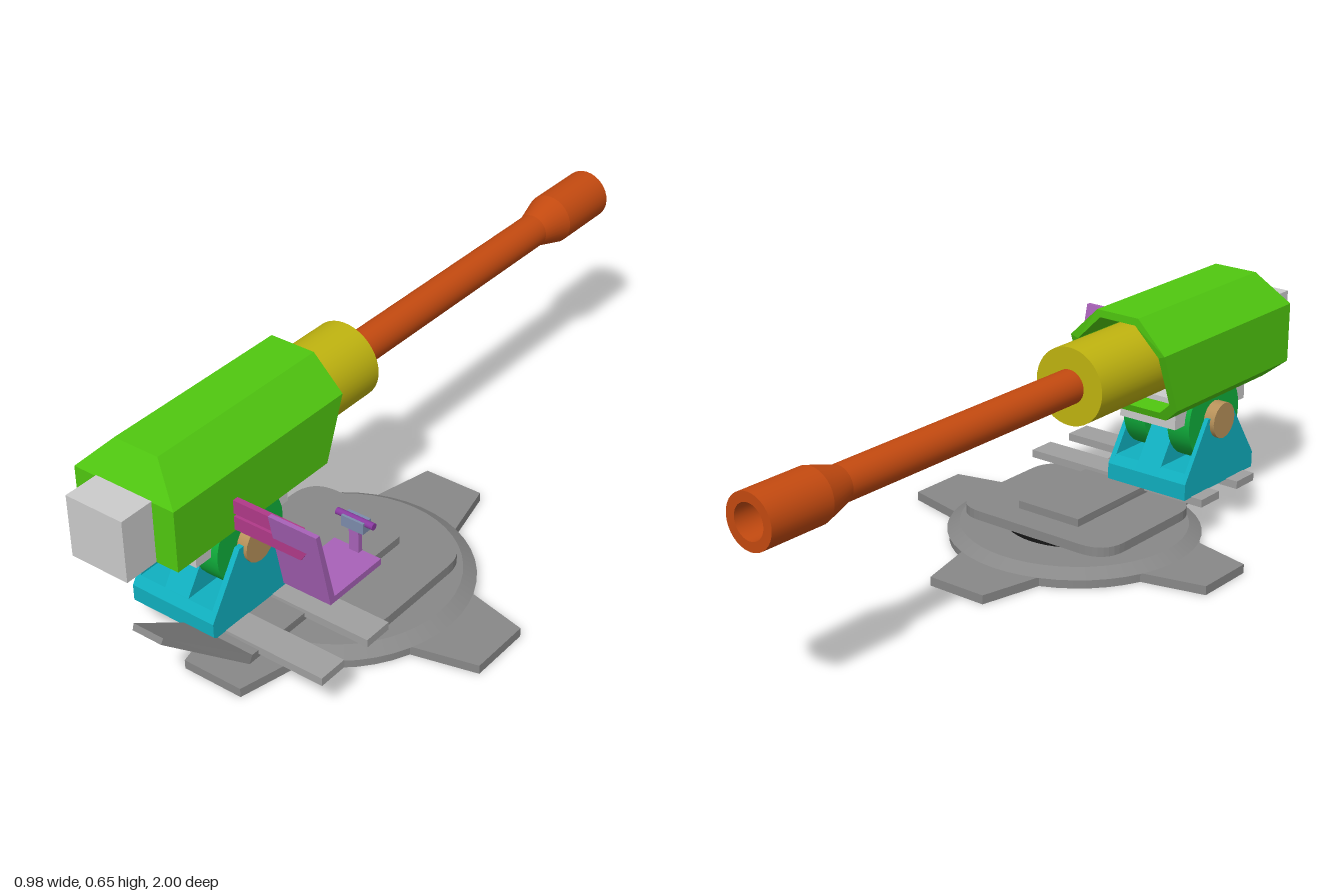
import * as THREE from 'three';

const GREY = 0xcccccc, DARK = 0x888888;
const AX = -0.13, AY = 0.512; // gun axis
const BZ = 0.31; // base centre

export function createModel() {
  const model = new THREE.Group();

  const add = (name, geo, color = GREY, flat = false) => {
    const mesh = new THREE.Mesh(geo, new THREE.MeshStandardMaterial({ color, flatShading: flat }));
    mesh.name = name;
    model.add(mesh);
    return mesh;
  };
  const box = (name, x0, x1, y0, y1, z0, z1, color) =>
    add(name, new THREE.BoxGeometry(x1 - x0, y1 - y0, z1 - z0)
      .translate((x0 + x1) / 2, (y0 + y1) / 2, (z0 + z1) / 2), color);
  const shapeOf = pts => new THREE.Shape(pts.map(p => new THREE.Vector2(...p)));
  const extrude = (shape, depth) =>
    new THREE.ExtrudeGeometry(shape, { depth, bevelEnabled: false, curveSegments: 8 });
  // Side profile [z, y] spanning x0..x1
  const sideways = (pts, x0, x1) =>
    extrude(shapeOf(pts), x1 - x0).rotateY(-Math.PI / 2).translate(x1, 0, 0);
  // Plan profile [x, z] spanning y0..y1
  const upright = (shape, y0, y1) =>
    extrude(shape, y1 - y0).rotateX(Math.PI / 2).translate(0, y1, 0);
  const disc = (name, rTop, rBottom, y0, y1, color) =>
    add(name, new THREE.CylinderGeometry(rTop, rBottom, y1 - y0, 48)
      .translate(0, (y0 + y1) / 2, BZ), color);
  const axle = (name, r, x0, x1, y, z, color, sides = 32) =>
    add(name, new THREE.CylinderGeometry(r, r, x1 - x0, sides)
      .rotateZ(Math.PI / 2).translate((x0 + x1) / 2, y, z), color);

  // Base with four tapered feet
  disc('baseDisc', 0.34, 0.34, 0, 0.025, DARK);
  disc('baseBevel', 0.31, 0.345, 0.025, 0.047, DARK);
  for (let i = 0; i < 4; i++) {
    const foot = upright(shapeOf([[0.2, -0.14], [0.31, -0.13], [0.49, -0.087], [0.49, 0.087], [0.31, 0.13], [0.2, 0.14]]), 0, 0.025);
    add('baseFoot', foot.rotateY(i * Math.PI / 2).translate(0, 0, BZ), DARK);
  }

  // Turntable
  disc('turntableBearing', 0.19, 0.19, 0.047, 0.065, 0x151515);
  const a = 0.253, b = 0.208, r = 0.085;
  const plate = new THREE.Shape();
  plate.moveTo(-a + r, -b);
  plate.lineTo(a - r, -b);
  plate.quadraticCurveTo(a, -b, a, -b + r);
  plate.lineTo(a, b - r);
  plate.quadraticCurveTo(a, b, a - r, b);
  plate.lineTo(-a + r, b);
  plate.quadraticCurveTo(-a, b, -a, b - r);
  plate.lineTo(-a, -b + r);
  plate.quadraticCurveTo(-a, -b, -a + r, -b);
  add('turntablePlate', upright(plate, 0.064, 0.09).translate(0, 0, 0.318), DARK);

  // Platform that bends up into a narrowing ramp
  const ramp = sideways([[0.195, 0.09], [0.775, 0.09], [1, 0.272], [0.993, 0.287], [0.765, 0.112], [0.195, 0.112]], -0.1, 0.1);
  const rp = ramp.attributes.position;
  for (let i = 0; i < rp.count; i++) {
    const t = Math.max(0, (rp.getZ(i) - 0.77) / 0.23);
    rp.setX(i, rp.getX(i) * (1 - 0.57 * t));
  }
  ramp.computeVertexNormals();
  add('platformRamp', ramp, DARK);
  for (const z of [0.49, 0.66]) box('crossBar', -0.29, 0.29, 0.1, 0.122, z, z + 0.083, 0xa0a0a0);

  // Cradle: floor, two cheeks and a centre rib
  const CYAN = 0x10b0c0;
  add('cradleFloor', sideways([[0.785, 0.12], [0.785, 0.165], [0.769, 0.19], [0.476, 0.19], [0.46, 0.165], [0.46, 0.12]], -0.255, 0), CYAN);
  const cheek = [[0.785, 0.12], [0.785, 0.165], [0.68, 0.323], [0.56, 0.323], [0.46, 0.165], [0.46, 0.12]];
  for (const [x0, x1] of [[-0.255, -0.242], [-0.164, -0.09], [-0.015, 0]])
    add('cradleCheek', sideways(cheek, x0, x1), CYAN);

  // Trunnion and elevation wheels
  axle('trunnion', 0.05, -0.268, 0.01, 0.308, 0.617, 0xb8925a, 16);
  for (const x of [-0.235, -0.09]) axle('elevationWheel', 0.118, x, x + 0.07, 0.31, 0.617, 0x10b03c);
  box('mountBlock', -0.22, -0.04, 0.315, 0.4, 0.455, 0.785);

  // Housing: an eight-sided shell, open at the rear
  const oct = [[0.15, 0.405], [0.15, 0.57], [0.065, 0.655], [-0.065, 0.655], [-0.15, 0.57], [-0.15, 0.405], [-0.105, 0.365], [0.105, 0.365]];
  const rearZ = y => 0.31 + Math.max(0, 0.57 - y) * 0.39;
  const inner = oct.map(([x, y]) => [x * 0.86, 0.51 + (y - 0.51) * 0.86]);
  const loops = [
    inner.map(([x, y]) => [x, y, 0.6]),
    inner.map(([x, y]) => [x, y, rearZ(y)]),
    oct.map(([x, y]) => [x, y, rearZ(y)]),
    oct.map(([x, y]) => [x, y, 0.855]),
    oct.map(([x, y]) => [Math.sign(x) * 0.15, Math.min(0.57, Math.max(0.405, y)), 0.905]),
  ];
  const verts = [];
  const tri = (...ps) => ps.forEach(p => verts.push(p[0] + AX, p[1], p[2]));
  for (let k = 0; k < loops.length - 1; k++) {
    const A = loops[k], B = loops[k + 1];
    for (let j = 0; j < 8; j++) {
      const n = (j + 1) % 8;
      tri(A[j], A[n], B[n]);
      tri(A[j], B[n], B[j]);
    }
  }
  const last = loops[loops.length - 1];
  for (let j = 1; j < 7; j++) {
    tri(loops[0][0], loops[0][j + 1], loops[0][j]);
    tri(last[0], last[j], last[j + 1]);
  }
  const shell = new THREE.BufferGeometry();
  shell.setAttribute('position', new THREE.Float32BufferAttribute(verts, 3));
  shell.computeVertexNormals();
  add('housing', shell, 0x50c810, true);
  box('breechBlock', -0.213, -0.045, 0.405, 0.572, 0.88, 1);

  // Barrel sleeve, and barrel with flared hollow muzzle
  add('barrelSleeve', new THREE.CylinderGeometry(0.104, 0.104, 0.5, 40)
    .rotateX(Math.PI / 2).translate(AX, AY, 0.36), 0xc0b410);
  const profile = [[0.046, -0.15], [0.046, 0.725], [0.07, 0.81], [0.07, 1], [0.045, 1], [0.045, 0.8], [0, 0.8]];
  for (let i = 0; i < profile.length - 1; i++) { // separate bands keep the edges crisp
    const band = profile.slice(i, i + 2).map(p => new THREE.Vector2(...p));
    add('barrel', new THREE.LatheGeometry(band, 32)
      .rotateX(-Math.PI / 2).translate(AX, AY, 0), 0xc44a10);
  }

  // Sight arms: two pointed bars
  const bar = [[-0.01, 0.455], [0.24, 0.455], [0.215, 0.492], [-0.01, 0.492]];
  for (const pts of [bar, bar.map(([x, y]) => [x, 0.902 - y])])
    add('sightArm', extrude(shapeOf(pts), 0.016).translate(0, 0, 0.697), 0xb03a88);

  // Bent sight shield with a small sight on its tray
  const PURPLE = 0xa862b8;
  add('sightShield', sideways([[0.727, 0.505], [0.714, 0.505], [0.668, 0.307], [0.495, 0.307], [0.495, 0.29], [0.683, 0.29]], 0.135, 0.273), PURPLE);
  box('sightPost', 0.19, 0.218, 0.3, 0.385, 0.495, 0.509, PURPLE);
  box('sightHead', 0.172, 0.236, 0.37, 0.4, 0.484, 0.514, 0x7c8cac);
  axle('sightPin', 0.009, 0.15, 0.258, 0.395, 0.5, 0x8a3aa0, 12);

  return model;
}
